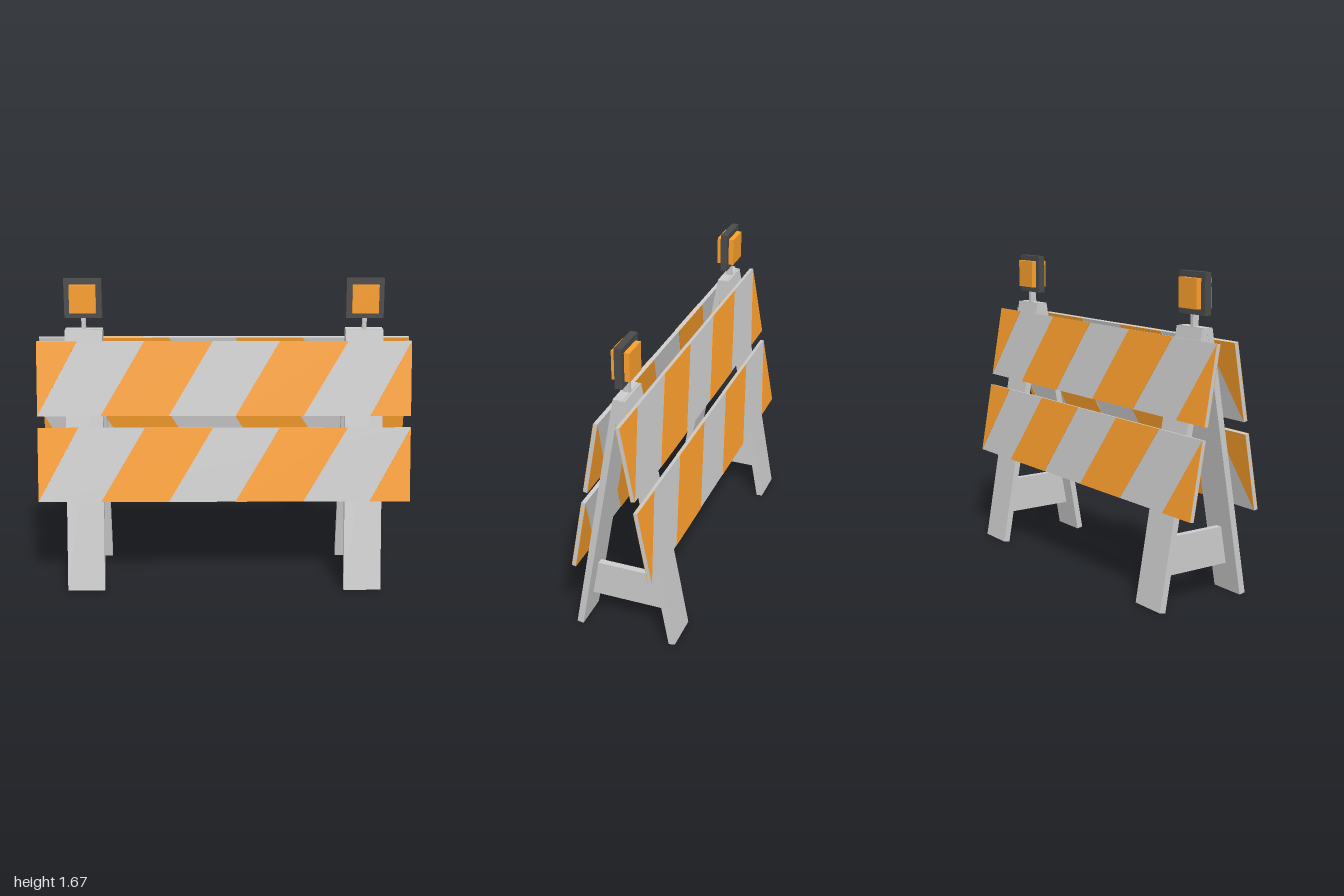
import * as THREE from 'three';

const grey = new THREE.MeshStandardMaterial({ color: 0xcccccc, flatShading: true });
const orange = new THREE.MeshStandardMaterial({ color: 0xfb9f2c, flatShading: true });
const dark = new THREE.MeshStandardMaterial({ color: 0x4a4a4a, flatShading: true });

const TILT = THREE.MathUtils.degToRad(10);
const LEG_X = 0.75;
const BOARD_H = 0.4;

function add(parent, name, geometry, material, x = 0, y = 0, z = 0) {
  const mesh = new THREE.Mesh(geometry, material);
  mesh.name = name;
  mesh.position.set(x, y, z);
  parent.add(mesh);
  return mesh;
}

const box = (w, h, d) => new THREE.BoxGeometry(w, h, d);

// Slanted stripe, cut off at the board ends
function stripeGeometry(start) {
  const width = 0.365, lean = 0.237;
  const clamp = (x) => THREE.MathUtils.clamp(x, -1, 1);
  const corners = [
    [start, 0], [start + width, 0],
    [start + width + lean, BOARD_H], [start + lean, BOARD_H],
  ].map(([x, y]) => new THREE.Vector2(clamp(x), y));
  const points = corners.filter((p, i) => !p.equals(corners[(i + 1) % 4]));
  return new THREE.ExtrudeGeometry(new THREE.Shape(points), { depth: 0.002, bevelEnabled: false });
}

// Board with stripes on both faces
function createBoard(name) {
  const board = new THREE.Group();
  board.name = name;
  add(board, 'boardPanel', box(2, BOARD_H, 0.02), grey, 0, BOARD_H / 2, 0.048);
  for (let i = 0; i < 4; i++) {
    const stripe = stripeGeometry(-1.385 + 0.7225 * i);
    add(board, 'outerStripe', stripe, orange, 0, 0, 0.058);
    add(board, 'innerStripe', stripe, orange, 0, 0, 0.036);
  }
  return board;
}

// One leaning side: two legs and two boards
function createSide(name) {
  const side = new THREE.Group();
  side.name = name;
  const leaning = new THREE.Group();
  leaning.name = 'leaningFrame';
  leaning.position.z = 0.243;
  leaning.rotation.x = -TILT;
  for (const s of [-1, 1]) {
    add(leaning, 'leg', box(0.2, 1.415, 0.035), grey, s * LEG_X, 0.7075, 0.0175);
  }
  [['lowerBoard', 0.491], ['upperBoard', 0.955]].forEach(([boardName, y]) => {
    const board = createBoard(boardName);
    board.position.y = y;
    leaning.add(board);
  });
  side.add(leaning);
  return side;
}

// Brace tapering between the inner faces of the legs
function braceGeometry() {
  const z = (y) => 0.245 - y * Math.tan(TILT);
  const [lo, hi] = [0.155, 0.355];
  const shape = new THREE.Shape([
    new THREE.Vector2(-z(lo), lo), new THREE.Vector2(z(lo), lo),
    new THREE.Vector2(z(hi), hi), new THREE.Vector2(-z(hi), hi),
  ]);
  const geometry = new THREE.ExtrudeGeometry(shape, { depth: 0.035, bevelEnabled: false });
  return geometry.translate(0, 0, -0.0175).rotateY(Math.PI / 2);
}

function createLamp() {
  const lamp = new THREE.Group();
  lamp.name = 'warningLamp';
  add(lamp, 'lampPost', box(0.022, 0.08, 0.035), grey, 0, 1.43, 0);
  add(lamp, 'lampFrame', box(0.2, 0.21, 0.038), dark, 0, 1.565, 0);
  add(lamp, 'lampLens', box(0.14, 0.15, 0.094), orange, 0, 1.565, 0);
  return lamp;
}

export function createModel() {
  const model = new THREE.Group();
  model.name = 'roadBarricade';

  const front = createSide('frontSide');
  const back = createSide('backSide');
  back.rotation.y = Math.PI;
  model.add(front, back);

  // Brace, top block and lamp at each end
  for (const s of [-1, 1]) {
    add(model, 'brace', braceGeometry(), grey, s * LEG_X, 0, 0);
    add(model, 'topBlock', box(0.198, 0.14, 0.036), grey, s * LEG_X, 1.33, 0);
    const lamp = createLamp();
    lamp.position.x = s * LEG_X;
    model.add(lamp);
  }
  return model;
}
